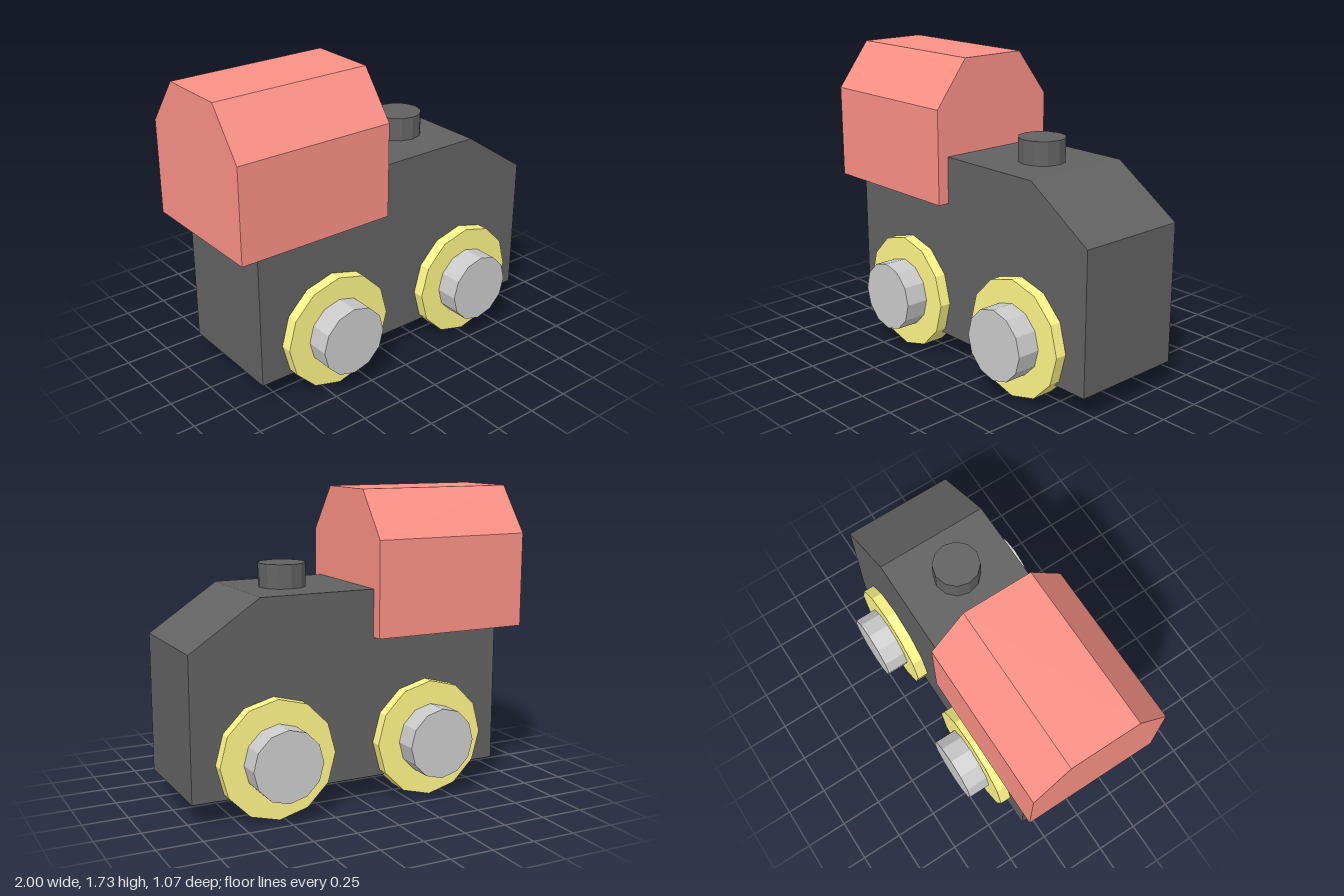
import * as THREE from 'three';

const paint = (color) => new THREE.MeshStandardMaterial({ color, flatShading: true });

function addMesh(parent, name, geometry, material) {
  const mesh = new THREE.Mesh(geometry, material);
  mesh.name = name;
  parent.add(mesh);
  return mesh;
}

// Extrude a polygon outline and centre it along its depth
function slab(points, depth) {
  const shape = new THREE.Shape(points.map(([x, y]) => new THREE.Vector2(x, y)));
  return new THREE.ExtrudeGeometry(shape, { depth, bevelEnabled: false }).translate(0, 0, -depth / 2);
}

export function createModel() {
  const model = new THREE.Group();
  model.name = 'toyLocomotive';
  const dark = paint(0x626262);
  const red = paint(0xfb9186);
  const yellow = paint(0xfff688);
  const grey = paint(0xcccccc);

  // Body with a step for the cab and a sloped nose
  addMesh(model, 'body', slab([
    [-0.867, 0.135], [1, 0.135], [1, 0.933], [0.6, 1.2], [-0.067, 1.2], [-0.067, 0.933], [-0.867, 0.933],
  ], 0.667), dark);

  // Cab with chamfered roof, extruded along x
  const cab = addMesh(model, 'cab', slab([
    [-0.4, 0.933], [0.4, 0.933], [0.4, 1.47], [0.2, 1.733], [-0.2, 1.733], [-0.4, 1.47],
  ], 0.933), red);
  cab.rotation.y = Math.PI / 2;
  cab.position.x = -0.533;

  // Chimney
  addMesh(model, 'chimney', new THREE.CylinderGeometry(0.133, 0.133, 0.163, 12), dark)
    .position.set(0.333, 1.252, 0);

  // Four wheels with protruding hubs
  const wheelGeometry = new THREE.CylinderGeometry(0.333, 0.333, 0.133, 12).rotateX(Math.PI / 2);
  const hubGeometry = new THREE.CylinderGeometry(0.2, 0.2, 0.2, 12).rotateX(Math.PI / 2);
  for (const x of [-0.4, 0.533]) {
    for (const side of [-1, 1]) {
      const wheel = new THREE.Group();
      wheel.name = `${x < 0 ? 'rear' : 'front'}Wheel${side > 0 ? 'Near' : 'Far'}`;
      addMesh(wheel, 'tyre', wheelGeometry, yellow).position.z = side * 0.333;
      addMesh(wheel, 'hub', hubGeometry, grey).position.z = side * 0.433;
      wheel.position.set(x, 0.333, 0);
      model.add(wheel);
    }
  }
  return model;
}
